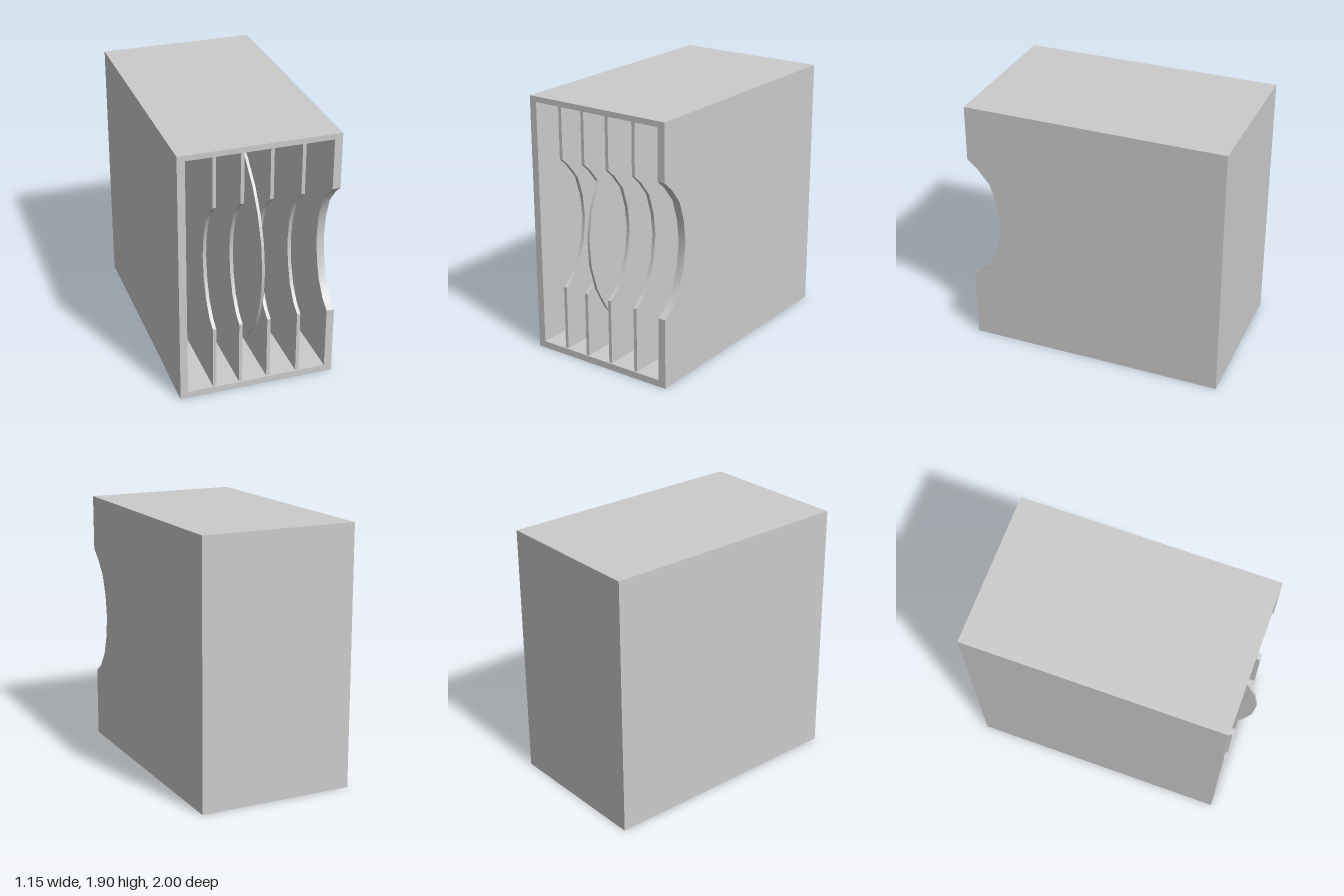
import * as THREE from 'three';
import { toCreasedNormals } from 'three/addons/utils/BufferGeometryUtils.js';

const W = 0.573, H = 1.905, BACK = -1, FRONT = 0.905;   // outer case
const IN_X0 = -0.518, IN_X1 = 0.516, IN_Y0 = 0.05, IN_Y1 = 1.865, IN_BACK = -0.95;

const material = new THREE.MeshStandardMaterial({ color: 0xcccccc });

// finger cut-out as [z, y], from top to bottom
const CUT = [[0.83, 1.43], [0.74, 1.32], [0.69, 1.17], [0.67, 1.007],
  [0.69, 0.84], [0.74, 0.69], [0.82, 0.58]];

export function createModel() {
  const group = new THREE.Group();

  function add(name, geometry) {
    const mesh = new THREE.Mesh(geometry, material);
    mesh.name = name;
    group.add(mesh);
  }

  // box given by its limits
  function block(name, x0, x1, y0, y1, z0, z1) {
    const g = new THREE.BoxGeometry(x1 - x0, y1 - y0, z1 - z0);
    g.translate((x0 + x1) / 2, (y0 + y1) / 2, (z0 + z1) / 2);
    add(name, g);
  }

  // upright panel with the finger cut-out in its front edge
  function cutPanel(name, x0, x1, y0, y1, z0, z1, lipTop, lipBottom) {
    const outline = [[z0, y0], [z0, y1], [z1, y1], [z1, lipTop], ...CUT, [z1, lipBottom], [z1, y0]];
    const shape = new THREE.Shape(outline.map(([z, y]) => new THREE.Vector2(-z, y)));
    const g = new THREE.ExtrudeGeometry(shape, { depth: x1 - x0, bevelEnabled: false });
    g.rotateY(Math.PI / 2);
    g.translate(x0, 0, 0);
    add(name, toCreasedNormals(g, 0.5));
  }

  // case
  block('leftOutWall', -W, IN_X0, 0, H, BACK, FRONT);
  cutPanel('notchedWall', IN_X1, W, 0, H, BACK, FRONT, 1.495, 0.52);
  block('bottomPanel', IN_X0, IN_X1, 0, IN_Y0, BACK, FRONT);
  block('topPanel', IN_X0, IN_X1, IN_Y1, H, BACK, FRONT);
  block('backPanel', IN_X0, IN_X1, IN_Y0, IN_Y1, BACK, IN_BACK);

  // dividers, set slightly behind the front rim
  [-0.317, -0.123, 0.085, 0.308].forEach((x, i) =>
    cutPanel('divider' + (i + 1), x - 0.0125, x + 0.0125, IN_Y0, IN_Y1, IN_BACK, 0.893, 1.485, 0.53));

  // disc standing in the middle slot
  const disc = new THREE.CylinderGeometry(0.89, 0.89, 0.02, 28, 1, false, 0.045);
  disc.rotateZ(Math.PI / 2);
  disc.translate(-0.003, 0.96, 0.11);
  add('disc', disc);

  return group;
}
